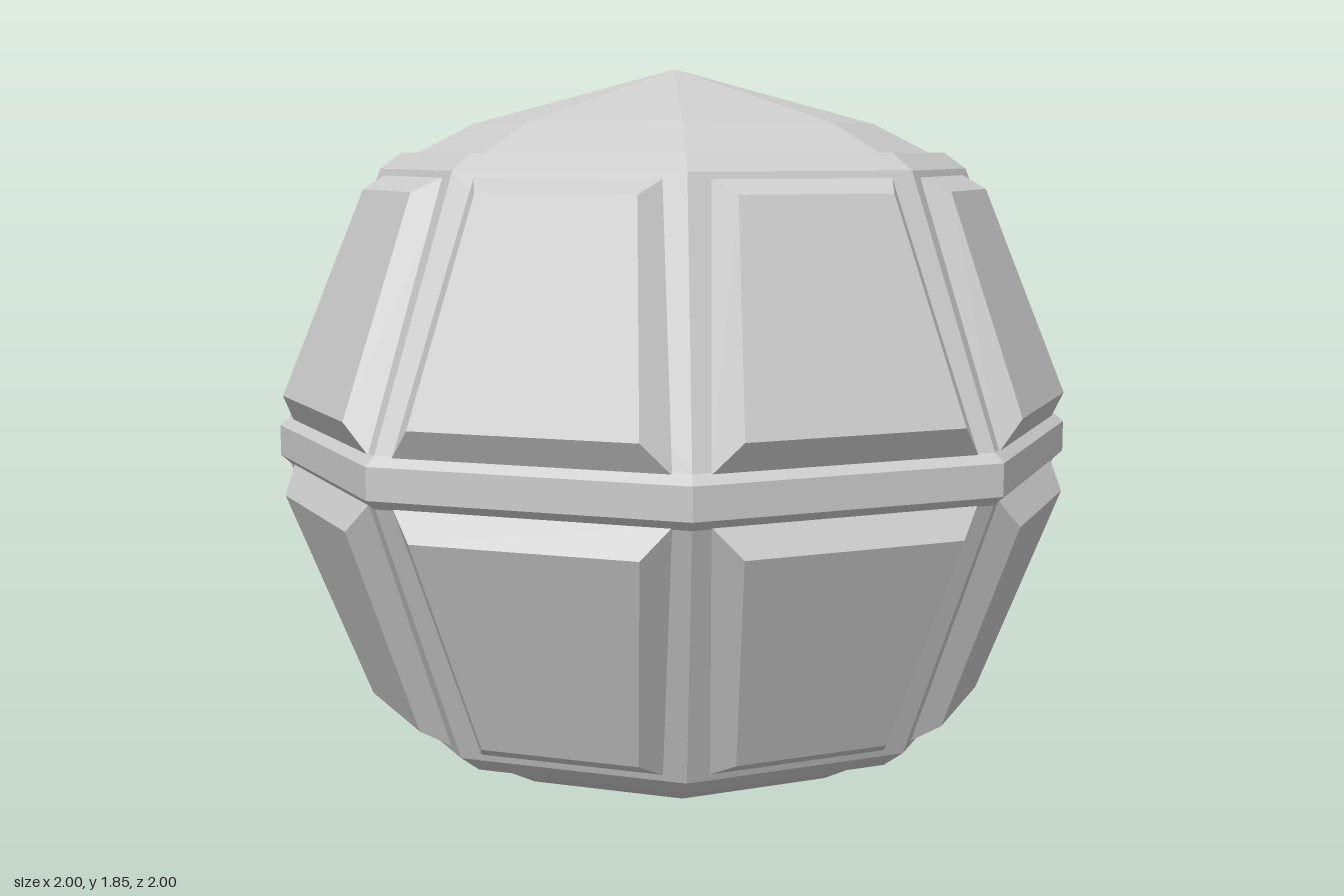
import * as THREE from 'three';

const MID = 0.927;      // height of the equator
const SIDES = 8;
const STEP = (Math.PI * 2) / SIDES;
const APOTHEM = Math.cos(STEP / 2);

const material = new THREE.MeshStandardMaterial({ color: 0xcccccc, flatShading: true });

// Radius of the core's sloping wall at a height above or below the equator
const wall = (h) => 1 - h * 0.414;

// Eight-sided body: pointed caps, stepped rims, sloping walls and a flat belt
function createCore() {
  const upper = [
    [1, 0.038], [0.975, 0.06], [0.735, 0.682], [0.68, 0.722],
    [0.64, 0.722], [0.5, 0.793], [0, MID],
  ];
  const lower = upper.map(([r, h]) => [r, -h]).reverse();
  const profile = [...lower, ...upper].map(([r, h]) => new THREE.Vector2(r, MID + h));
  const core = new THREE.Mesh(new THREE.LatheGeometry(profile, SIDES), material);
  core.name = 'core';
  return core;
}

// Bevelled raised panel; side is +1 above the equator, -1 below
function createPanelGeometry(side) {
  // half width, height from the equator, radius
  const base = { near: [0.332, 0.052, wall(0.052) - 0.004], far: [0.238, 0.678, wall(0.678) - 0.004] };
  const face = { near: [0.271, 0.125, 1.02], far: [0.193, 0.633, 0.812] };
  const geometry = new THREE.BoxGeometry(1, 1, 1);
  const p = geometry.attributes.position;
  for (let i = 0; i < p.count; i++) {
    const layer = p.getZ(i) > 0 ? face : base;
    const [w, h, r] = p.getY(i) * side > 0 ? layer.far : layer.near;
    p.setXYZ(i, Math.sign(p.getX(i)) * w, MID + side * h, r * APOTHEM);
  }
  geometry.computeVertexNormals();
  return geometry;
}

export function createModel() {
  const model = new THREE.Group();
  model.name = 'panelledSphere';
  model.add(createCore());

  // Two rows of panels, one on each wall
  for (const side of [1, -1]) {
    const row = new THREE.Group();
    row.name = side > 0 ? 'upperPanels' : 'lowerPanels';
    const geometry = createPanelGeometry(side);
    for (let k = 0; k < SIDES; k++) {
      const panel = new THREE.Mesh(geometry, material);
      panel.name = side > 0 ? 'upperPanel' : 'lowerPanel';
      panel.rotation.y = (k + 0.5) * STEP;
      row.add(panel);
    }
    model.add(row);
  }
  return model;
}
